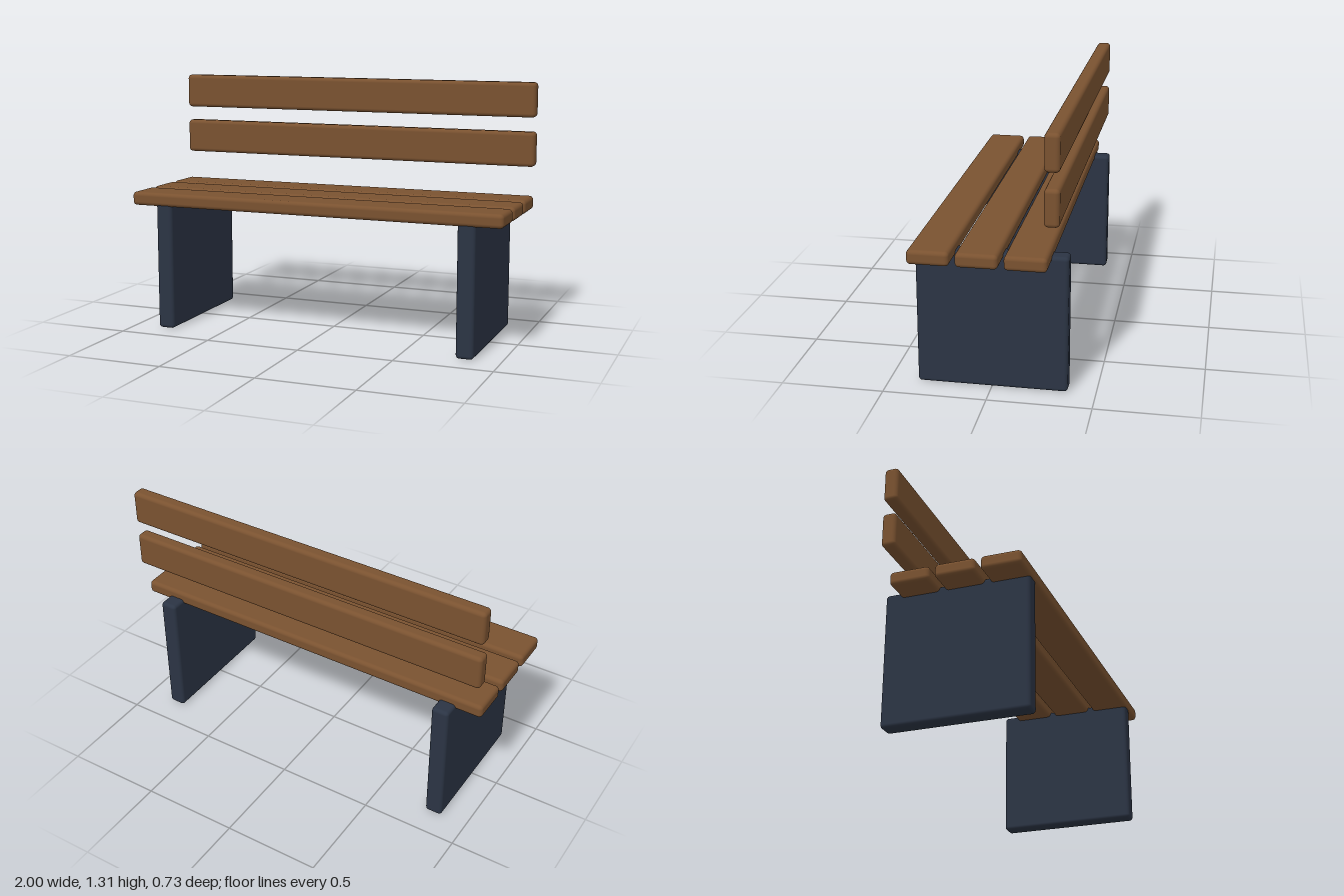
import * as THREE from 'three';
import { RoundedBoxGeometry } from 'three/addons/geometries/RoundedBoxGeometry.js';

export function createModel() {
  const bench = new THREE.Group();
  bench.name = 'bench';
  const wood = new THREE.MeshStandardMaterial({ color: 0x7a5230 });
  const metal = new THREE.MeshStandardMaterial({ color: 0x2b3444 });

  function board(name, material, [w, h, d], [x, y, z], radius) {
    const mesh = new THREE.Mesh(new RoundedBoxGeometry(w, h, d, 4, radius), material);
    mesh.name = name;
    mesh.position.set(x, y, z);
    bench.add(mesh);
  }

  // Side panels that carry the seat
  for (const [name, side] of [['leftLegPanel', 1], ['rightLegPanel', -1]]) {
    board(name, metal, [0.09, 0.682, 0.727], [side * 0.818, 0.341, -0.002], 0.018);
  }

  // Three seat slats, front to back
  for (let i = 0; i < 3; i++) {
    board(`seatSlat${i + 1}`, wood, [2, 0.07, 0.2], [0, 0.689, 0.269 - i * 0.227], 0.02);
  }

  // Two upright back slats
  for (let i = 0; i < 2; i++) {
    board(`backSlat${i + 1}`, wood, [2, 0.18, 0.072], [0, 0.962 + i * 0.255, -0.303], 0.02);
  }

  return bench;
}
